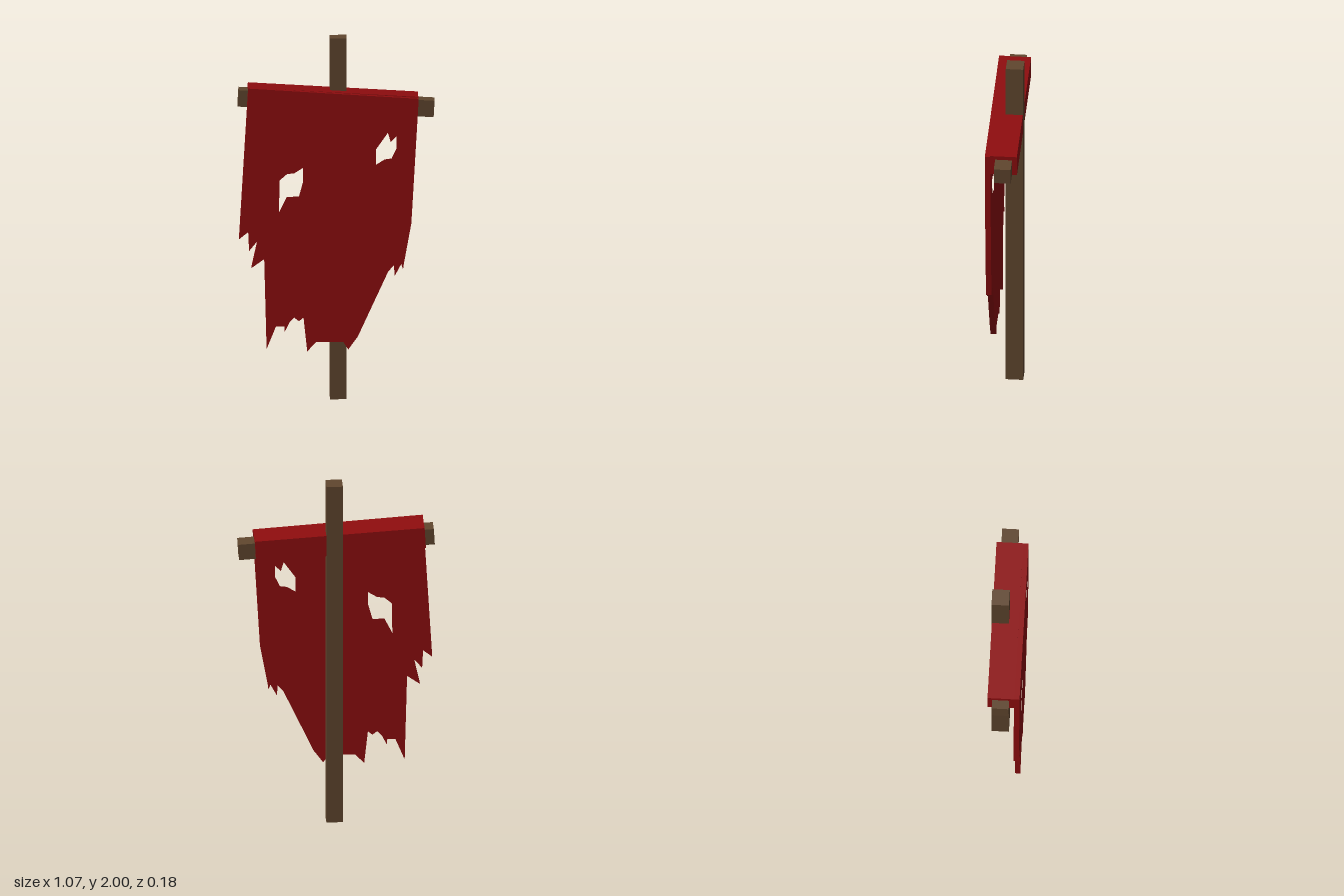
import * as THREE from 'three';

const wood = new THREE.MeshStandardMaterial({ color: 0x60462e, flatShading: true });
const cloth = new THREE.MeshStandardMaterial({ color: 0x8f0c0e, flatShading: true });

const TILT = -0.059; // the crossbar hangs slightly lower on the +x side

const toPoints = (pairs) => pairs.map(([x, y]) => new THREE.Vector2(x, y));

function addMesh(group, name, geometry, material) {
  const mesh = new THREE.Mesh(geometry, material);
  mesh.name = name;
  group.add(mesh);
  return mesh;
}

export function createModel() {
  const group = new THREE.Group();
  group.name = 'tatteredBanner';

  // Upright pole
  addMesh(group, 'pole', new THREE.BoxGeometry(0.09, 2, 0.095), wood).position.set(0.01, 1, -0.0425);

  // Tilted crossbar
  const bar = addMesh(group, 'crossbar', new THREE.BoxGeometry(1.065, 0.091, 0.092), wood);
  bar.position.set(-0.002, 1.643, -0.016);
  bar.rotation.z = TILT;

  // Cloth sleeve folded over the crossbar
  const sleeve = addMesh(group, 'sleeve', new THREE.BoxGeometry(0.924, 0.12, 0.145), cloth);
  sleeve.position.set(-0.0215, 1.652, -0.0155);
  sleeve.rotation.z = TILT;

  // Hanging cloth with a ragged hem, clockwise from the upper -x corner
  const outline = new THREE.Shape(toPoints([
    [-0.48, 1.74], [0.445, 1.68], [0.405, 0.99], [0.365, 0.77], [0.36, 0.735],
    [0.35, 0.765], [0.315, 0.70], [0.31, 0.757], [0.28, 0.725], [0.115, 0.365],
    [0.063, 0.293], [0.035, 0.335], [-0.11, 0.335], [-0.16, 0.283], [-0.18, 0.47],
    [-0.205, 0.45], [-0.23, 0.47], [-0.255, 0.445], [-0.283, 0.39], [-0.283, 0.42],
    [-0.33, 0.42], [-0.38, 0.297], [-0.393, 0.795], [-0.463, 0.745], [-0.43, 0.895],
    [-0.475, 0.84], [-0.48, 0.945], [-0.53, 0.905],
  ]));
  const holes = [
    [[-0.31, 1.23], [-0.27, 1.265], [-0.23, 1.27], [-0.182, 1.30],
      [-0.182, 1.225], [-0.205, 1.14], [-0.27, 1.14], [-0.313, 1.053]],
    [[0.213, 1.40], [0.278, 1.493], [0.293, 1.44], [0.325, 1.473],
      [0.325, 1.407], [0.298, 1.35], [0.26, 1.345], [0.213, 1.315]],
  ];
  for (const hole of holes) outline.holes.push(new THREE.Path(toPoints(hole)));
  const sheet = new THREE.ExtrudeGeometry(outline, { depth: 0.03, bevelEnabled: false });
  addMesh(group, 'hangingCloth', sheet, cloth).position.z = 0.056;

  return group;
}
